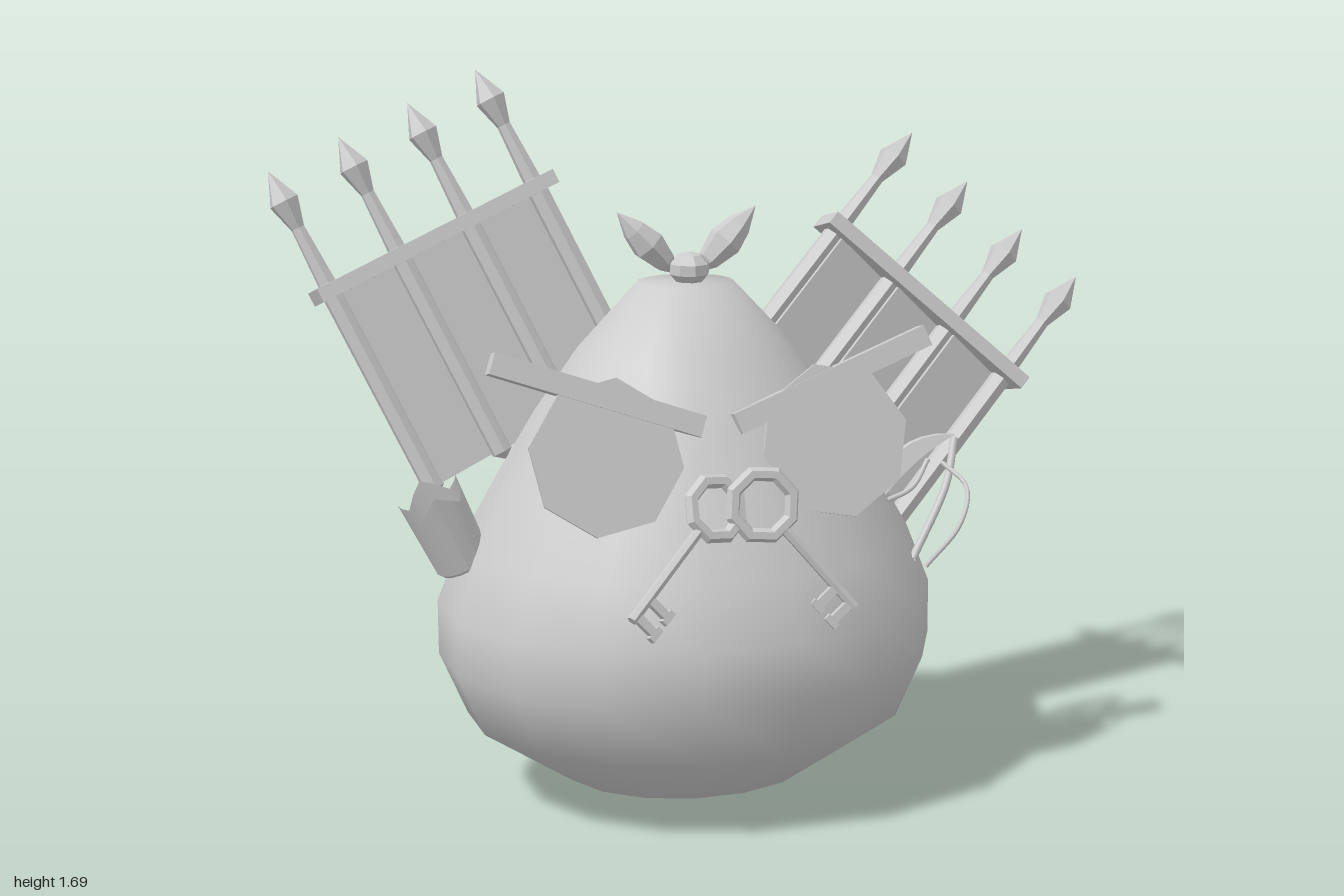
import * as THREE from 'three';

const V = (x, y, z) => new THREE.Vector3(x, y, z);
const smooth = new THREE.MeshStandardMaterial({ color: 0xcccccc, side: THREE.DoubleSide });
const flat = new THREE.MeshStandardMaterial({ color: 0xcccccc, flatShading: true, side: THREE.DoubleSide });

function add(parent, name, geo, pos = [0, 0, 0], rot = [0, 0, 0], mat = flat) {
  const m = new THREE.Mesh(geo, mat);
  m.name = name;
  m.position.set(...pos);
  m.rotation.set(...rot);
  parent.add(m);
  return m;
}

const lathe = (pts, n, phi = 0) =>
  new THREE.LatheGeometry(pts.map(([r, y]) => new THREE.Vector2(r, y)), n, phi);

// Group placed at an origin with its own x and y directions
function frame(parent, name, origin, xDir, yDir) {
  const g = new THREE.Group();
  const y = yDir.clone().normalize();
  const z = xDir.clone().cross(y).normalize();
  const x = y.clone().cross(z);
  g.quaternion.setFromRotationMatrix(new THREE.Matrix4().makeBasis(x, y, z));
  g.position.copy(origin);
  g.name = name;
  parent.add(g);
  return g;
}

// Railing wing: cross rail, four spear-topped bars, slats between them
function wing(parent, name, origin, xDir, yDir) {
  const g = frame(parent, name, origin, xDir, yDir);
  const L = 0.53;
  add(g, 'rail', new THREE.BoxGeometry(0.645, 0.035, 0.13));
  const bar = lathe([[0, -L - 0.02], [0.027, -L], [0.027, 0], [0.023, 0.02], [0.017, 0.165],
    [0.038, 0.235], [0, 0.315]], 6);
  for (let i = 0; i < 4; i++) {
    const x = -0.283 + i * 0.188;
    add(g, 'spearBar', bar, [x, 0, 0]);
    if (i < 3) add(g, 'slat', new THREE.BoxGeometry(0.16, L - 0.01, 0.015), [x + 0.094, -L / 2, 0], [0, 0.25, 0]);
  }
}

// Key: octagonal ring, shaft and two teeth; y runs from ring to tip
function key(parent, ring, tip, toothDir, r) {
  const dir = tip.clone().sub(ring);
  const len = dir.length();
  const g = frame(parent, 'key', ring, toothDir, dir);
  add(g, 'ring', new THREE.TorusGeometry(r, 0.017, 6, 8), [0, 0, 0], [0, 0, Math.PI / 8]);
  add(g, 'shaft', new THREE.CylinderGeometry(0.012, 0.012, len - r, 6), [0, (len + r) / 2, 0]);
  for (const d of [0.015, 0.065]) {
    add(g, 'tooth', new THREE.BoxGeometry(0.07, 0.02, 0.015), [0.035, len - d, 0]);
    add(g, 'toothEnd', new THREE.BoxGeometry(0.016, 0.034, 0.015), [0.062, len - d, 0]);
  }
}

export function createModel() {
  const model = new THREE.Group();
  model.name = 'pearCreature';

  // Pear-shaped body, slightly shallower than wide
  const body = add(model, 'body', lathe([[0, 0], [0.11, 0], [0.305, 0.05], [0.53, 0.2], [0.595, 0.35],
    [0.595, 0.48], [0.54, 0.62], [0.45, 0.78], [0.36, 0.93], [0.255, 1.08], [0.115, 1.23], [0, 1.23]],
  16, Math.PI / 16), [-0.1, 0, -0.035], [0, 0, 0], smooth);
  body.scale.z = 0.87;

  // Knot and leaves on top
  const knot = add(model, 'knot', new THREE.SphereGeometry(0.05, 8, 5), [-0.09, 1.26, -0.03]);
  knot.scale.y = 0.8;
  const leaf = lathe([[0, 0], [0.027, 0.04], [0.042, 0.1], [0.03, 0.15], [0, 0.21]], 6);
  for (const s of [-1, 1]) add(model, 'leaf', leaf, [-0.09 + s * 0.025, 1.245, -0.05], [0, 0, -s * 0.76]);

  // Eye plates and slanted brows, leaning back with the body
  for (const s of [-1, 1]) {
    const face = new THREE.Group();
    face.name = s < 0 ? 'rightEyeSet' : 'leftEyeSet';
    face.position.set(-0.113 + s * 0.27, 0.9, 0.285);
    face.rotation.x = -0.25;
    model.add(face);
    add(face, 'eye', new THREE.CylinderGeometry(0.18, 0.18, 0.012, 8), [0, 0, 0], [Math.PI / 2, 0.2 * s, 0]);
    add(face, 'brow', new THREE.BoxGeometry(0.505, 0.05, 0.045), [s * 0.008, 0.14, -0.012], [0, 0, s * 0.35]);
  }

  // Pair of linked keys in front
  key(model, V(-0.16, 0.79, 0.385), V(-0.395, 0.59, 0.52), V(0.6, -0.75, 0.1), 0.066);
  key(model, V(-0.05, 0.79, 0.385), V(0.155, 0.545, 0.43), V(-0.75, -0.6, 0.1), 0.074);

  // Railing wings
  wing(model, 'rightWing', V(-0.61, 1.3, -0.415), V(0.905, 0.41, -0.108), V(-0.41, 0.91, -0.24));
  wing(model, 'leftWing', V(0.59, 1.1, -0.265), V(0.74, -0.653, 0.17), V(0.68, 0.72, -0.15));

  // Cup with a wavy rim on the right side
  const cup = frame(model, 'cup', V(-0.68, 0.68, -0.035), V(1, 0.42, 0), V(-0.42, 0.9, 0.05));
  const wall = new THREE.CylinderGeometry(0.075, 0.066, 0.18, 16, 1, true);
  const p = wall.attributes.position;
  for (let i = 0; i < p.count; i++) {
    if (p.getY(i) > 0) p.setY(i, 0.085 + 0.022 * Math.cos(4 * Math.atan2(p.getZ(i), p.getX(i))));
  }
  wall.computeVertexNormals();
  add(cup, 'cupWall', wall, [0, 0, 0], [0, 0, 0], smooth);
  add(cup, 'cupBase', new THREE.CylinderGeometry(0.066, 0.06, 0.015, 16), [0, -0.09, 0]);

  // Thin crescent with a looping cord on the left side
  const s = new THREE.Shape();
  s.moveTo(0.33, 0.68);
  s.quadraticCurveTo(0.38, 0.85, 0.56, 0.83);
  s.quadraticCurveTo(0.43, 0.78, 0.33, 0.68);
  const crescent = new THREE.ExtrudeGeometry(s, { depth: 0.015, bevelEnabled: false, curveSegments: 8 });
  const q = crescent.attributes.position;
  for (let i = 0; i < q.count; i++) q.setZ(i, q.getZ(i) + 0.02 + 0.45 * (0.835 - q.getY(i)));
  add(model, 'crescent', crescent);
  const cord = (name, r, ...pts) =>
    add(model, name, new THREE.TubeGeometry(new THREE.CatmullRomCurve3(pts), 16, r, 6), [0, 0, 0], [0, 0, 0], smooth);
  cord('crescentStem', 0.01, V(0.56, 0.82, 0.03), V(0.52, 0.72, 0.08), V(0.41, 0.56, 0.145));
  cord('cord', 0.006, V(0.5, 0.78, 0.1), V(0.54, 0.73, 0.16), V(0.51, 0.65, 0.195), V(0.43, 0.55, 0.18));
  cord('innerCord', 0.006, V(0.35, 0.69, 0.09), V(0.43, 0.72, 0.085), V(0.48, 0.78, 0.06));

  // Small studs low on the back
  const stud = lathe([[0, 0], [0.025, 0], [0.022, 0.08], [0.038, 0.085], [0.036, 0.105], [0, 0.115]], 10);
  add(model, 'backStud', stud, [-0.36, 0.39, -0.44], [-Math.PI / 2, 0, 0.3], smooth);
  add(model, 'smallStud', new THREE.ConeGeometry(0.03, 0.07, 8), [-0.475, 0.39, -0.445], [-Math.PI / 2, 0, 0.6]);

  return model;
}
